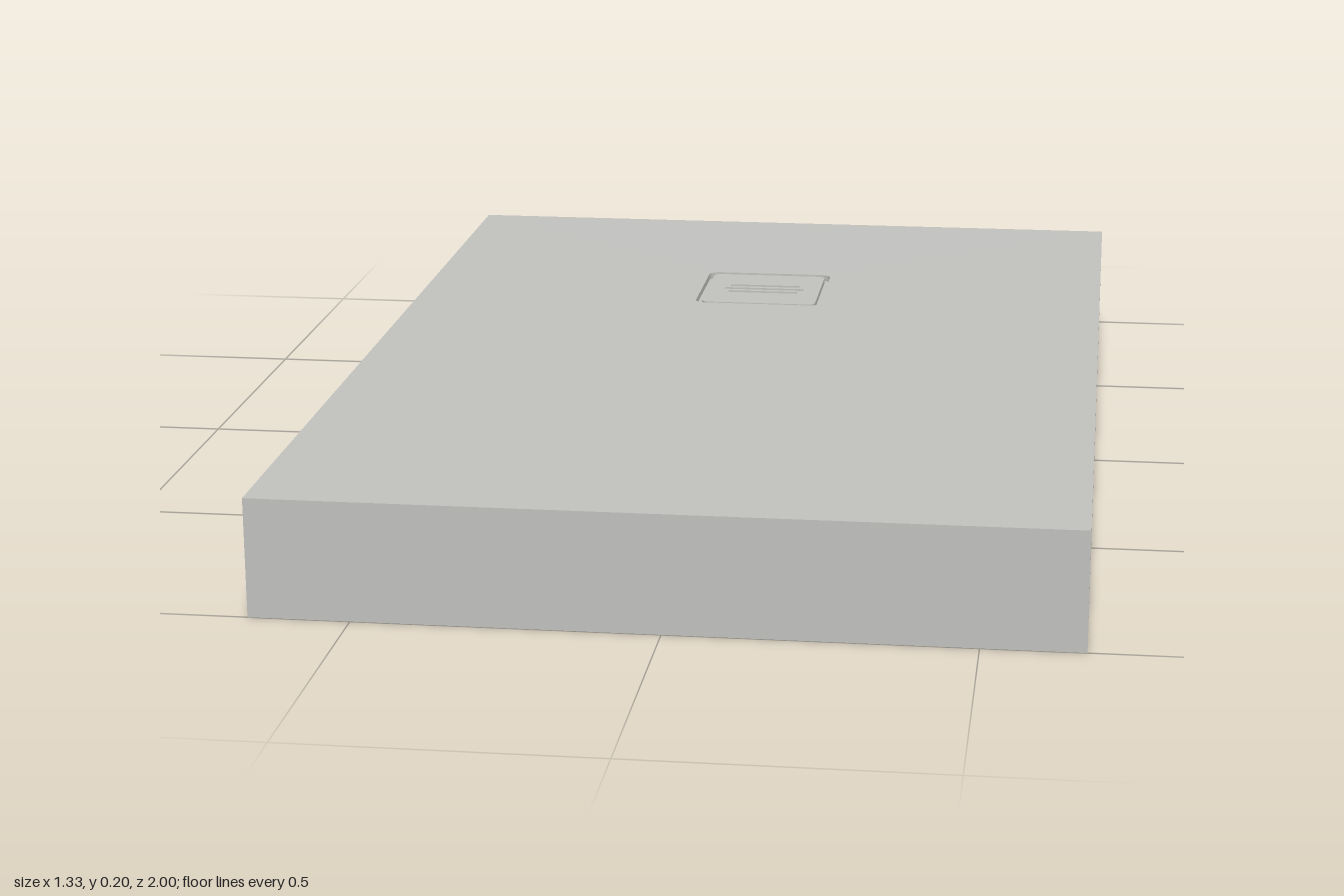
import * as THREE from 'three';

const W = 1.334, D = 2, H = 0.2, WALL = 0.025;
const DRAIN_Z = -0.453;

// Rectangle outline with rounded corners, centred on (0, z) in plan
function outline(w, d, r = 0, z = 0, x = 0) {
  const s = new THREE.Shape();
  const a = w / 2, b = d / 2, y = -z;
  if (r === 0) {
    s.moveTo(x - a, y - b).lineTo(x + a, y - b).lineTo(x + a, y + b).lineTo(x - a, y + b).closePath();
    return s;
  }
  s.absarc(x + a - r, y + b - r, r, 0, Math.PI / 2, false);
  s.absarc(x - a + r, y + b - r, r, Math.PI / 2, Math.PI, false);
  s.absarc(x - a + r, y - b + r, r, Math.PI, Math.PI * 1.5, false);
  s.absarc(x + a - r, y - b + r, r, Math.PI * 1.5, Math.PI * 2, false);
  s.closePath();
  return s;
}

// Horizontal slab between two heights, with holes
function slab(shape, holes, y0, y1) {
  shape.holes.push(...holes);
  const g = new THREE.ExtrudeGeometry(shape, { depth: y1 - y0, bevelEnabled: false, curveSegments: 8 });
  return g.rotateX(-Math.PI / 2).translate(0, y0, 0);
}

// Four planes falling gently from the walls to the drain
function slopedTop(half, yIn) {
  const a = W / 2 - WALL, b = D / 2 - WALL;
  const signs = [[-1, 1], [1, 1], [1, -1], [-1, -1]];
  const pos = [];
  for (let i = 0; i < 4; i++) {
    const [s, t] = [signs[i], signs[(i + 1) % 4]];
    const o0 = [s[0] * a, H, s[1] * b], o1 = [t[0] * a, H, t[1] * b];
    const i0 = [s[0] * half, yIn, DRAIN_Z + s[1] * half], i1 = [t[0] * half, yIn, DRAIN_Z + t[1] * half];
    pos.push(...o0, ...o1, ...i1, ...o0, ...i1, ...i0);
  }
  const g = new THREE.BufferGeometry();
  g.setAttribute('position', new THREE.Float32BufferAttribute(pos, 3));
  g.computeVertexNormals();
  return g;
}

export function createModel() {
  const group = new THREE.Group();
  const stone = new THREE.MeshStandardMaterial({ color: 0xc0c0bd });
  stone.name = 'pale grey stone';
  const add = (name, geometry) => {
    const m = new THREE.Mesh(geometry, stone);
    m.name = name;
    group.add(m);
  };

  const iw = W - 2 * WALL, id = D - 2 * WALL;

  // Hollow tray: walls, top surface, ceiling of the cavity, underside rim
  add('outerWalls', slab(outline(W, D), [outline(iw, id)], 0, H));
  add('traySurface', slopedTop(0.128, 0.193));
  add('cavityCeiling', slab(outline(iw, id), [outline(0.246, 0.246, 0.02, DRAIN_Z)], 0.18, 0.183));
  add('undersideRim', slab(outline(iw, id), [outline(1.16, 1.56, 0.05, -0.195)], 0, 0.002));

  // Drain: collar, sump below the ceiling, slotted cover
  add('drainCollar', slab(outline(0.256, 0.256, 0, DRAIN_Z), [outline(0.246, 0.246, 0.02, DRAIN_Z)], 0.181, 0.193));
  add('drainSump', slab(outline(0.25, 0.25, 0.025, DRAIN_Z), [], 0.16, 0.181));
  const slots = [-1, 0, 1].map(i =>
    outline(i === 0 ? 0.158 : 0.138, 0.013, 0.006, DRAIN_Z + i * 0.024));
  add('drainCover', slab(outline(0.224, 0.224, 0.015, DRAIN_Z), slots, 0.181, 0.192));

  return group;
}
